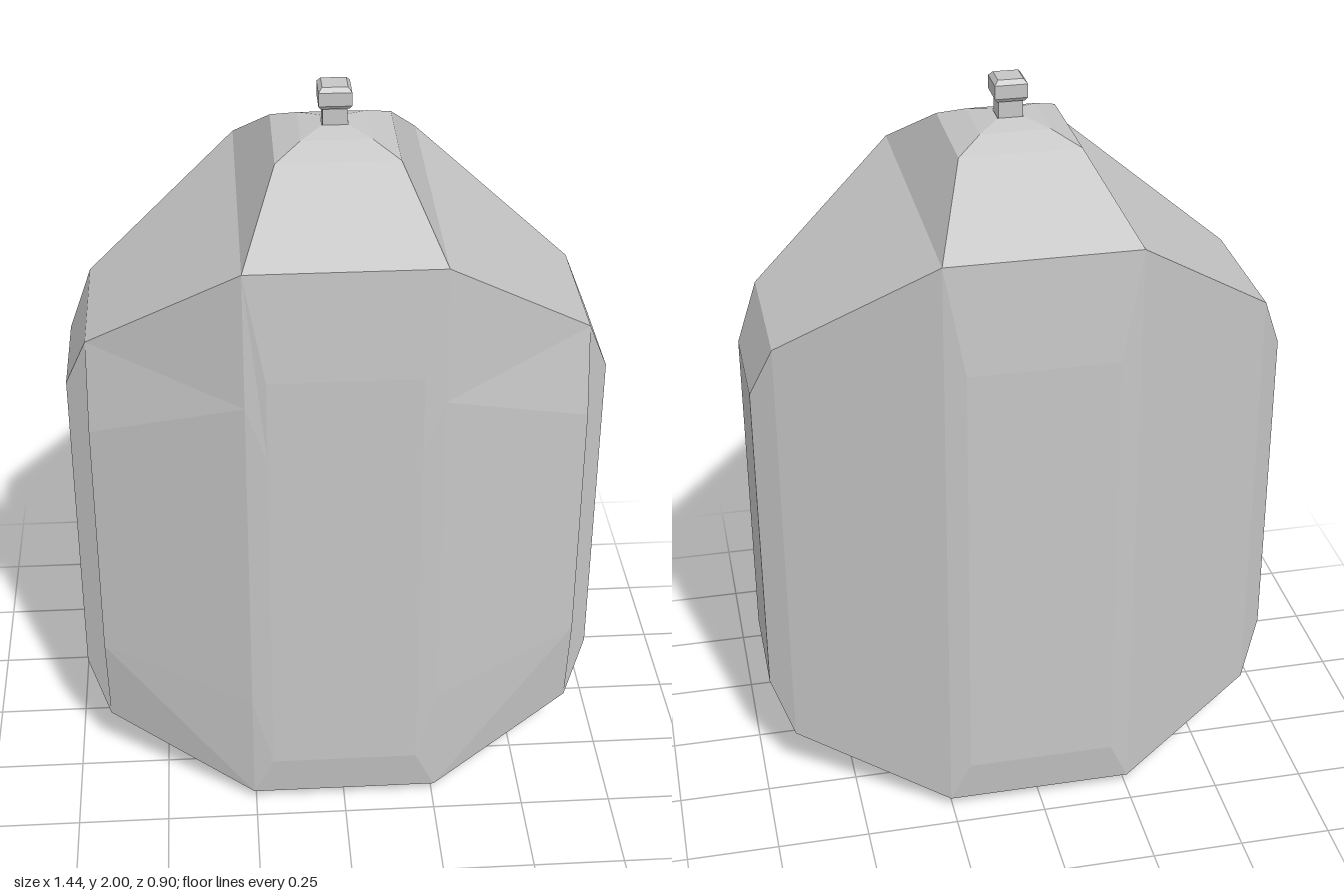
import * as THREE from 'three';

const shellGrey = new THREE.MeshStandardMaterial({ color: 0xc6c6c6 });
shellGrey.name = 'shellGrey';

const flip = (p, sx, sz) => [p[0] * sx, p[1], p[2] * sz];
const band = (p, sx = -1, sz = 1) => flip(p, sx, sz);

// Collects flat polygons, each mirrored as asked and turned away from a centre
function makeFacets(name, centreY, faces) {
  const out = [];
  const v = (p) => new THREE.Vector3(...p);
  const centre = new THREE.Vector3(0, centreY, 0);
  for (const { pts, mx, mz } of faces) {
    for (const sx of mx ? [1, -1] : [1]) {
      for (const sz of mz ? [1, -1] : [1]) {
        const q = pts.map((p) => v(flip(p, sx, sz)));
        for (let i = 1; i < q.length - 1; i++) {
          const [a, b, c] = [q[0], q[i], q[i + 1]];
          const n = b.clone().sub(a).cross(c.clone().sub(a));
          const outward = n.dot(a.clone().add(b).add(c).divideScalar(3).sub(centre)) > 0;
          for (const p of outward ? [a, b, c] : [a, c, b]) out.push(p.x, p.y, p.z);
        }
      }
    }
  }
  const g = new THREE.BufferGeometry();
  g.setAttribute('position', new THREE.Float32BufferAttribute(out, 3));
  g.computeVertexNormals();
  const mesh = new THREE.Mesh(g, shellGrey);
  mesh.name = name;
  return mesh;
}

// Stacked square sections [halfWidth, y], closed at both ends
function squareStack(name, rows) {
  const faces = [];
  const ring = ([r, y]) => [[r, y, r], [-r, y, r], [-r, y, -r], [r, y, -r]];
  for (let i = 0; i < rows.length - 1; i++) {
    const a = ring(rows[i]), b = ring(rows[i + 1]);
    for (let k = 0; k < 4; k++) {
      const n = (k + 1) % 4;
      faces.push({ pts: [a[k], a[n], b[n], b[k]] });
    }
  }
  faces.push({ pts: ring(rows[0]) }, { pts: ring(rows[rows.length - 1]) });
  return makeFacets(name, (rows[0][1] + rows[rows.length - 1][1]) / 2, faces);
}

export function createModel() {
  const model = new THREE.Group();
  model.name = 'flask';

  // Main corners: shoulder and foot of the wide faces, then the narrow sides
  const shoulder = [0.255, 1.685, 0.435], foot = [0.255, 0.035, 0.435];
  const sideTop = [0.66, 1.385, 0.205], sideLow = [0.66, 0.155, 0.205];
  const endTop = [0.72, 1.235, 0.152], endLow = [0.72, 0.31, 0.152];
  const back = (p) => flip(p, 1, -1);

  // Bulging front: outer, middle and inner columns from top to bottom
  const outer = [sideTop, [0.664, 1.13, 0.235], [0.664, 0.42, 0.235], sideLow];
  const middle = [shoulder, [0.255, 1.31, 0.443], [0.255, 0.36, 0.443], foot];
  const inner = [[0.2, 1.385, 0.45], [0.2, 1.15, 0.45], [0.2, 0.45, 0.45], [0.2, 0.155, 0.45]];
  const front = [{ pts: outer, mx: true }];
  for (let i = 0; i < 3; i++) {
    front.push({ pts: [outer[i], middle[i], middle[i + 1], outer[i + 1]], mx: true });
    front.push({ pts: [middle[i], inner[i], inner[i + 1], middle[i + 1]], mx: true });
    front.push({ pts: [inner[i], band(inner[i]), band(inner[i + 1]), inner[i + 1]] });
  }
  for (const [m, n] of [[shoulder, inner[0]], [foot, inner[3]]]) {
    front.push({ pts: [m, band(m), band(n), n] });
  }
  model.add(makeFacets('frontPanel', 0.8, front));

  // Back: raised centre with a narrow bevel and two slanting flanks
  const bTop = back(inner[0]), bLow = back(inner[3]);
  const s = back(shoulder), f = back(foot);
  model.add(makeFacets('backPanel', 0.8, [
    { pts: [s, f, back(sideLow), back(sideTop)], mx: true },
    { pts: [s, f, bLow, bTop], mx: true },
    { pts: [s, band(s), band(bTop), bTop] },
    { pts: [f, band(f), band(bLow), bLow] },
    { pts: [bTop, band(bTop), band(bLow), bLow] },
  ]));

  // Narrow sides with bevelled rim and flat end
  model.add(makeFacets('sides', 0.8, [
    { pts: [endTop, endLow, back(endLow), back(endTop)], mx: true },
    { pts: [sideTop, sideLow, endLow, endTop], mx: true, mz: true },
    { pts: [sideTop, endTop, back(endTop), back(sideTop)], mx: true },
    { pts: [sideLow, endLow, back(endLow), back(sideLow)], mx: true },
  ]));

  // Shallow underside around a square base
  const base = [0.2, 0.005, 0.2];
  model.add(makeFacets('underside', 0.8, [
    { pts: [base, band(base), flip(base, -1, -1), back(base)] },
    { pts: [foot, band(foot), band(base), base], mz: true },
    { pts: [foot, base, back(base), back(foot)], mx: true },
    { pts: [sideLow, foot, back(foot), back(sideLow)], mx: true },
  ]));

  // Sloping shoulders and the stepped dome
  const dome = [shoulder, [0.16, 1.85, 0.157], [0.092, 1.882, 0.092], [0.034, 1.898, 0.034]];
  const top = [{ pts: [sideTop, shoulder, back(shoulder), back(sideTop)], mx: true }];
  for (let i = 0; i < 3; i++) {
    const a = dome[i], b = dome[i + 1];
    top.push({ pts: [a, band(a), band(b), b], mz: true });
    top.push({ pts: [a, b, back(b), back(a)], mx: true });
  }
  model.add(makeFacets('shoulders', 0.8, top));

  // Neck and bevelled stopper
  model.add(squareStack('neck', [[0.032, 1.885], [0.032, 1.95]]));
  model.add(squareStack('stopper', [
    [0.036, 1.942], [0.043, 1.952], [0.043, 1.988], [0.033, 2.0],
  ]));

  return model;
}
